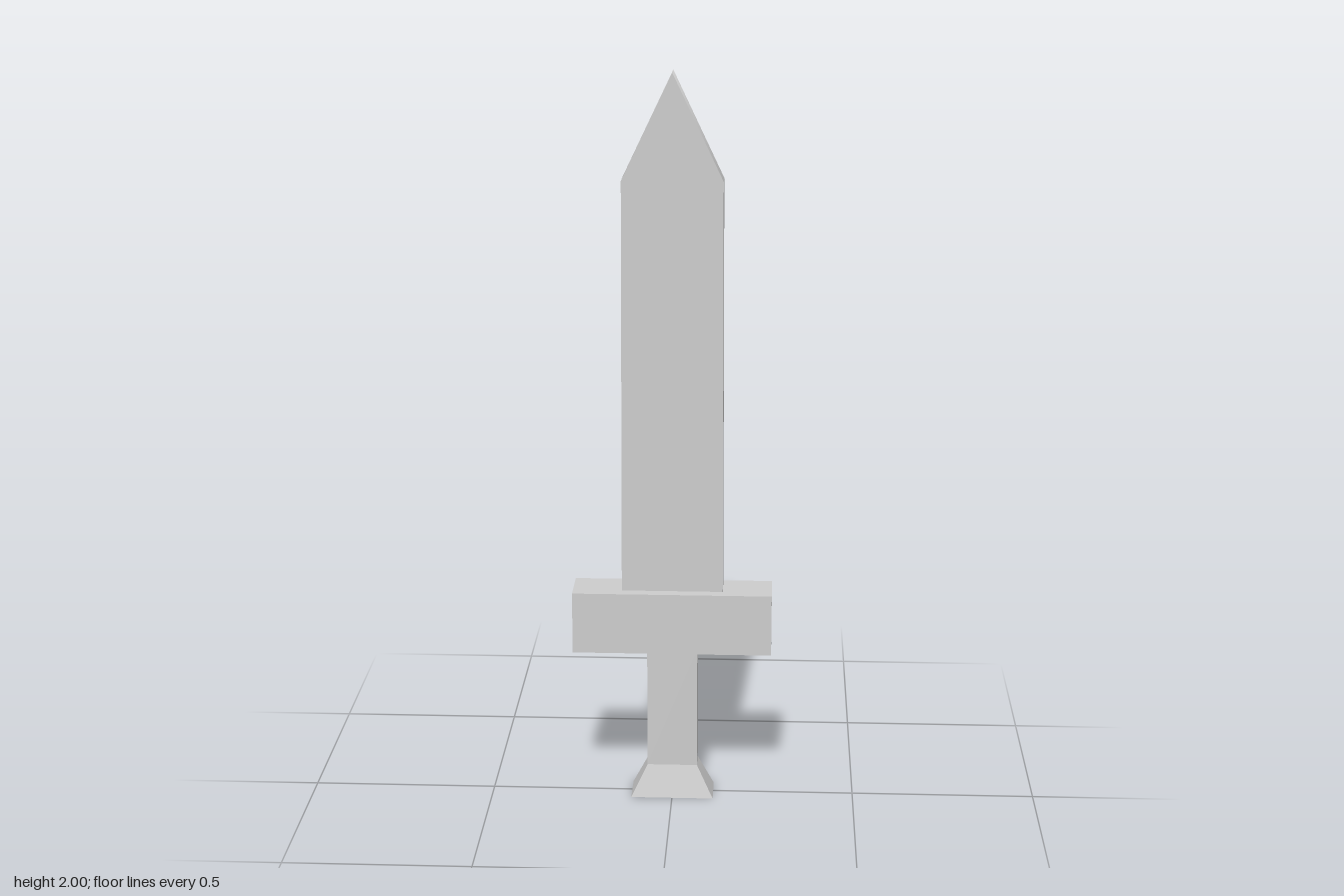
import * as THREE from 'three';

const material = new THREE.MeshStandardMaterial({ color: 0xcccccc });

function addPart(group, name, geometry) {
  const mesh = new THREE.Mesh(geometry, material);
  mesh.name = name;
  group.add(mesh);
}

// Box between two heights whose bottom can be wider than its top
function taperedBox(y0, y1, width, depth, bottomWidth = width, bottomDepth = depth) {
  const geometry = new THREE.BoxGeometry(width, y1 - y0, depth);
  const p = geometry.attributes.position;
  for (let i = 0; i < p.count; i++) {
    if (p.getY(i) < 0) {
      p.setX(i, Math.sign(p.getX(i)) * bottomWidth / 2);
      p.setZ(i, Math.sign(p.getZ(i)) * bottomDepth / 2);
    }
  }
  geometry.translate(0, (y0 + y1) / 2, 0);
  geometry.computeVertexNormals();
  return geometry;
}

// Flat slab with a pointed end; the two sloping edges shade softly into each other at the tip
function bladeGeometry(base, shoulder, tip, depth) {
  const shape = new THREE.Shape([
    new THREE.Vector2(-0.137, base),
    new THREE.Vector2(0.137, base),
    new THREE.Vector2(0.133, shoulder),
    new THREE.Vector2(0, tip),
    new THREE.Vector2(-0.133, shoulder),
  ]);
  const geometry = new THREE.ExtrudeGeometry(shape, { depth, bevelEnabled: false });
  geometry.translate(0, 0, -depth / 2);
  const { position, normal } = geometry.attributes;
  for (let i = 0; i < position.count; i++) {
    if (position.getY(i) > tip - 0.001 && Math.abs(normal.getZ(i)) < 0.5) normal.setXYZ(i, 0, 1, 0);
  }
  return geometry;
}

export function createModel() {
  const sword = new THREE.Group();
  sword.name = 'sword';
  addPart(sword, 'pommel', taperedBox(0, 0.09, 0.137, 0.063, 0.226, 0.107));
  addPart(sword, 'grip', taperedBox(0.09, 0.43, 0.137, 0.063));
  addPart(sword, 'guard', taperedBox(0.43, 0.6, 0.54, 0.126));
  addPart(sword, 'blade', bladeGeometry(0.6, 1.72, 2, 0.063));
  return sword;
}
